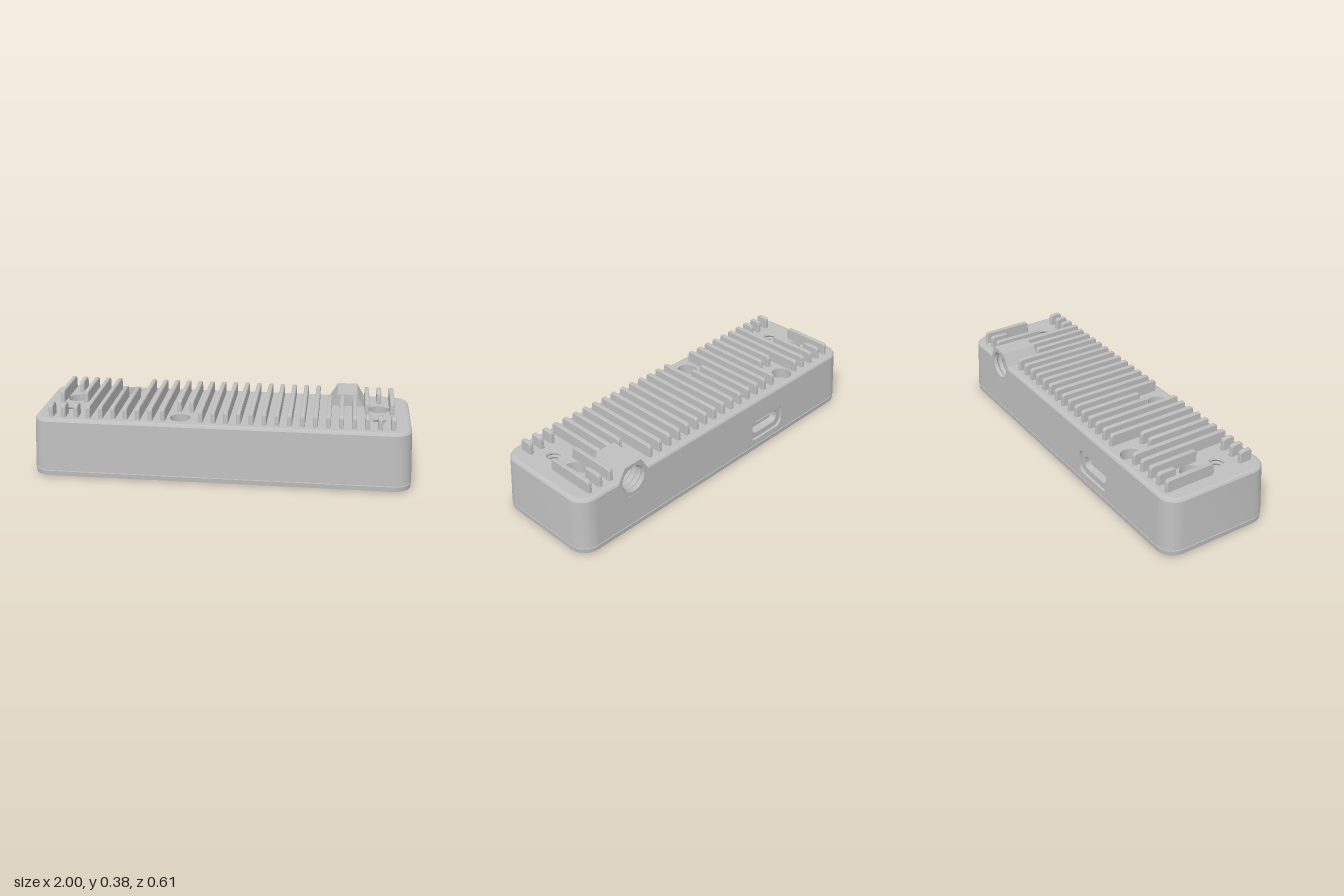
import * as THREE from 'three';
import { toCreasedNormals } from 'three/addons/utils/BufferGeometryUtils.js';

const TOP = 0.318, FIN_TOP = 0.383;
const BOSS = { x: 0.655, y: 0.29, r: 0.107, half: 0.09, back: -0.297, front: -0.1 };
const PORT = { x: -0.34, y: 0.13 };
const ARC = 6;

export function createModel() {
  const group = new THREE.Group();
  const grey = new THREE.MeshStandardMaterial({ color: 0xbfbfbf, side: THREE.DoubleSide });
  grey.name = 'grey casing';
  const add = (name, geometry, x = 0, y = 0, z = 0) => {
    const mesh = new THREE.Mesh(toCreasedNormals(geometry, 0.6), grey);
    mesh.name = name;
    mesh.position.set(x, y, z);
    group.add(mesh);
    return mesh;
  };

  // Rounded rectangle in plan, with two extra points on the back edge beside the boss
  const contour = (hx, hz, r) => {
    const pts = [];
    [[1, 1], [-1, 1], [-1, -1], [1, -1]].forEach(([sx, sz], c) => {
      if (c === 3) pts.push([BOSS.x - BOSS.half, -hz], [BOSS.x + BOSS.half, -hz]);
      for (let i = 0; i <= ARC; i++) {
        const a = (c + i / ARC) * Math.PI / 2;
        pts.push([sx * (hx - r) + r * Math.cos(a), sz * (hz - r) + r * Math.sin(a)]);
      }
    });
    return pts;
  };
  const backEdge = 3 * (ARC + 1) - 1;

  // Skin between stacked outlines [y, halfX, halfZ, radius]
  const loft = (rings, skip = []) => {
    const v = [];
    const levels = rings.map(([y, hx, hz, r]) => contour(hx, hz, r).map(([x, z]) => [x, y, z]));
    for (let k = 0; k + 1 < levels.length; k++) {
      const lo = levels[k], hi = levels[k + 1];
      lo.forEach((p, i) => {
        if (skip.includes(i)) return;
        const j = (i + 1) % lo.length;
        v.push(...p, ...hi[i], ...hi[j], ...p, ...hi[j], ...lo[j]);
      });
    }
    const g = new THREE.BufferGeometry();
    g.setAttribute('position', new THREE.Float32BufferAttribute(v, 3));
    g.computeVertexNormals();
    return g;
  };
  const planShape = (pts) => new THREE.Shape(pts.map(([x, z]) => new THREE.Vector2(x, -z)));
  const circle = (x, y, r) => new THREE.Path().absarc(x, y, r, 0, Math.PI * 2, true);
  const slot = (cx, cy, w, h, r) => {
    const s = new THREE.Shape();
    [[1, 1], [-1, 1], [-1, -1], [1, -1]].forEach(([sx, sy], c) =>
      s.absarc(cx + sx * (w / 2 - r), cy + sy * (h / 2 - r), r, c * Math.PI / 2, (c + 1) * Math.PI / 2));
    return s;
  };
  const extrude = (shape, depth, bevel = 0) => new THREE.ExtrudeGeometry(shape, {
    depth, curveSegments: 8, bevelEnabled: bevel > 0, bevelSize: bevel, bevelThickness: bevel, bevelSegments: 1,
  });

  // Base plate with a chamfered underside and the seam above it
  add('basePlate', loft([[0, 0.982, 0.289, 0.075], [0.004, 0.998, 0.305, 0.09],
    [0.029, 1, 0.307, 0.09], [0.029, 0.99, 0.297, 0.08], [0.034, 0.99, 0.297, 0.08], [0.034, 1, 0.307, 0.09]]));
  const underside = new THREE.ShapeGeometry(planShape(contour(0.982, 0.289, 0.075)));
  underside.rotateX(Math.PI / 2).scale(1, 1, -1);
  // mirror back to a downward-facing sheet
  underside.scale(1, 1, -1);
  add('underside', underside);

  // Tapered casing walls and the softened upper edge
  const wallTop = [0.304, 0.988, 0.298, 0.09];
  add('casingWalls', loft([[0.034, 1, 0.307, 0.09], wallTop], [backEdge, backEdge + 1, backEdge + 2]));
  add('upperEdge', loft([wallTop, [0.313, 0.982, 0.292, 0.085], [TOP, 0.968, 0.279, 0.075]], [backEdge + 1]));

  // Holes sunk into the top: [x, z, radius, threaded]
  const wells = [
    [-0.555, -0.215, 0.055, false], [-0.215, 0.19, 0.055, false],
    [-0.828, -0.06, 0.055, false], [0.825, -0.06, 0.055, false],
    [-0.828, 0.1, 0.038, true], [0.825, 0.1, 0.038, true],
  ];

  // Top face, notched for the boss
  const topPts = contour(0.968, 0.279, 0.075);
  topPts.splice(backEdge + 2, 0, [BOSS.x - BOSS.half, BOSS.front], [BOSS.x + BOSS.half, BOSS.front]);
  const topShape = planShape(topPts);
  wells.forEach(([x, z, r]) => topShape.holes.push(circle(x, -z, r)));
  add('topFace', new THREE.ShapeGeometry(topShape, 12).rotateX(-Math.PI / 2), 0, TOP, 0);

  // Stepped or threaded hole profile, going down from y = 0
  const well = (r, depth, turns) => {
    const p = [[r, 0]];
    if (turns) {
      for (let i = 0; i < turns; i++) {
        p.push([r * 0.83, -(i + 0.5) * depth / turns], [r, -(i + 1) * depth / turns]);
      }
    } else {
      p.push([r, -0.06], [r * 0.55, -0.06], [r * 0.55, -depth]);
    }
    p.push([0, -depth]);
    return new THREE.LatheGeometry(p.map(([x, y]) => new THREE.Vector2(x, y)), 24);
  };
  wells.forEach(([x, z, r, threaded]) =>
    add(threaded ? 'threadedHole' : 'screwWell', well(r, 0.14, threaded ? 6 : 0), x, TOP, z));

  // Back wall with a port opening and a notch for the boss
  const bu = -BOSS.x, h = BOSS.half;
  const backShape = new THREE.Shape([
    [-0.91, 0.034], [0.91, 0.034], [0.898, 0.304], [bu + h, 0.304], [bu + h, 0.29],
    [bu + 0.05, 0.2], [bu - 0.05, 0.2], [bu - h, 0.29], [bu - h, 0.304], [-0.898, 0.304],
  ].map(([x, y]) => new THREE.Vector2(x, y)));
  backShape.holes.push(slot(-PORT.x, PORT.y, 0.26, 0.14, 0.045));
  const back = new THREE.ShapeGeometry(backShape, 8).rotateY(Math.PI);
  const pos = back.attributes.position;
  for (let i = 0; i < pos.count; i++) {
    pos.setZ(i, -0.307 + 0.009 * (pos.getY(i) - 0.034) / 0.27);
  }
  add('backWall', back);

  // Recessed port: outer surround, inner sleeve, closed end and tongue
  const frame = (w, hh, r, iw, ih, ir, depth) => {
    const s = slot(0, 0, w, hh, r);
    s.holes.push(slot(0, 0, iw, ih, ir));
    return extrude(s, depth);
  };
  add('portSurround', frame(0.28, 0.16, 0.055, 0.26, 0.14, 0.045, 0.03), PORT.x, PORT.y, -0.3);
  add('portSleeve', frame(0.275, 0.155, 0.05, 0.2, 0.075, 0.035, 0.08), PORT.x, PORT.y, -0.285);
  add('portEnd', new THREE.BoxGeometry(0.24, 0.12, 0.01), PORT.x, PORT.y, -0.205);
  add('portTongue', new THREE.BoxGeometry(0.14, 0.02, 0.06), PORT.x, PORT.y, -0.235);

  // Hexagonal mounting boss with a threaded bore facing the back
  const hexagon = () => new THREE.Shape(Array.from({ length: 6 }, (_, i) =>
    new THREE.Vector2(BOSS.r * Math.cos(i * Math.PI / 3), BOSS.r * Math.sin(i * Math.PI / 3))));
  const bored = hexagon();
  bored.holes.push(circle(0, 0, 0.075));
  const boreDepth = 0.187;
  add('mountBoss', extrude(bored, boreDepth), BOSS.x, BOSS.y, BOSS.back);
  add('mountBossEnd', extrude(hexagon(), 0.01), BOSS.x, BOSS.y, BOSS.back + boreDepth);
  add('mountThread', well(0.075, boreDepth, 6).rotateX(-Math.PI / 2), BOSS.x, BOSS.y, BOSS.back);

  // Cooling fins: upright plates with rounded upper corners
  const fin = (x, z0, z1) => {
    const b = 0.004, r = 0.016, y0 = TOP - 0.01, y1 = FIN_TOP - b;
    const a = -z1 + b, c = -z0 - b; // profile runs along -z
    const s = new THREE.Shape();
    s.moveTo(a, y0);
    s.lineTo(c, y0);
    s.lineTo(c - 0.002, y1 - r);
    s.quadraticCurveTo(c - 0.002, y1, c - r, y1);
    s.lineTo(a + r, y1);
    s.quadraticCurveTo(a + 0.002, y1, a + 0.002, y1 - r);
    const g = extrude(s, 0.016, b).translate(0, 0, -0.008).rotateY(Math.PI / 2);
    add('coolingFin', g, x, 0, 0);
  };
  const Z0 = -0.257, Z1 = 0.253;
  for (let i = 0; i < 28; i++) {
    const x = -0.895 + 0.0662 * i;
    const edge = Math.min(i, 27 - i);
    if (edge <= 2) {
      fin(x, Z0, edge === 1 ? -0.15 : 0.02);
      fin(x, 0.18, Z1);
    } else if (i === 5 || i === 6) fin(x, -0.12, Z1);
    else if (i === 10 || i === 11) fin(x, Z0, 0.105);
    else if (i >= 22 && i <= 24) fin(x, BOSS.front - 0.005, Z1);
    else fin(x, Z0, Z1);
  }
  return group;
}
